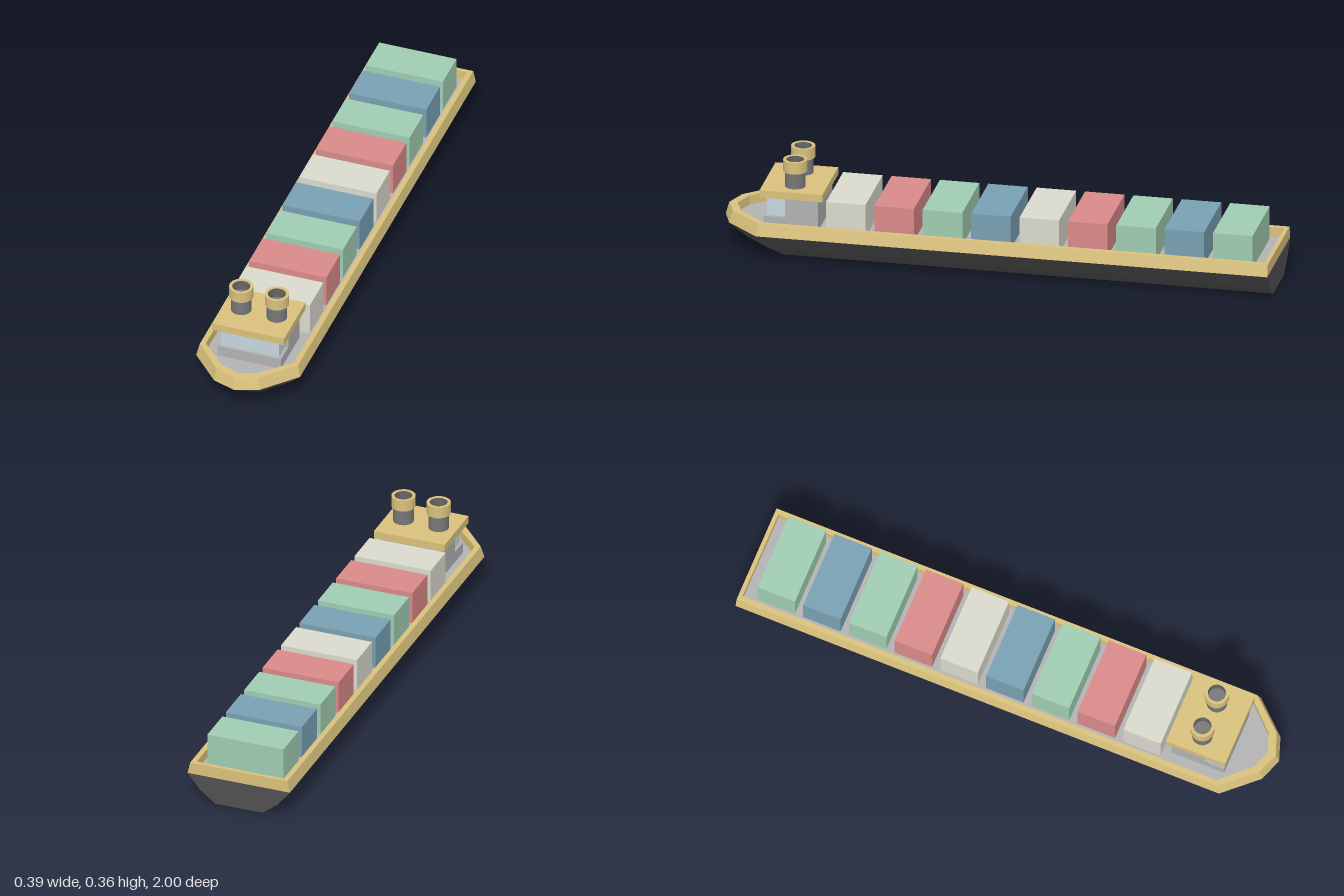
import * as THREE from 'three';

const mat = (color, side = THREE.FrontSide) =>
  new THREE.MeshStandardMaterial({ color, side, flatShading: true });
const GOLD = 0xd9c17c, DARK = 0x505050, GREY = 0xb2b2b2, GLASS = 0xc6d6de;
const GREEN = 0x9fccb2, BLUE = 0x78a0b2, RED = 0xd88a88, CREAM = 0xd9d9cd;

// Ship outline at one height: straight sides, then a faceted bow
function outline(y, halfWidth, shoulderZ, midX, midZ, tipZ, sternZ = -1) {
  const half = [[halfWidth, sternZ], [halfWidth, shoulderZ], [midX, midZ]];
  return [...half, [0, tipZ], ...half.map(([x, z]) => [-x, z]).reverse()]
    .map(([x, z]) => new THREE.Vector3(x, y, z));
}

// Skin a stack of outlines; optionally close the first or the last one
function loft(rings, capFirst, capLast) {
  const pts = [];
  const n = rings[0].length;
  for (let r = 0; r + 1 < rings.length; r++) {
    const lo = rings[r], hi = rings[r + 1];
    for (let i = 0; i < n; i++) {
      const j = (i + 1) % n;
      pts.push(lo[i], hi[i], hi[j], lo[i], hi[j], lo[j]);
    }
  }
  const last = rings[rings.length - 1];
  for (let i = 1; i + 1 < n; i++) {
    if (capFirst) pts.push(rings[0][0], rings[0][i], rings[0][i + 1]);
    if (capLast) pts.push(last[0], last[i + 1], last[i]);
  }
  const geo = new THREE.BufferGeometry().setFromPoints(pts);
  geo.computeVertexNormals();
  return geo;
}

export function createModel() {
  const ship = new THREE.Group();
  ship.name = 'cargoShip';
  const add = (name, geo, material, parent = ship) => {
    const mesh = new THREE.Mesh(geo, material);
    mesh.name = name;
    parent.add(mesh);
    return mesh;
  };
  // Box given by its width (centred on x) and its y and z ranges
  const block = (name, width, y0, y1, z0, z1, color, parent) => {
    const mesh = add(name, new THREE.BoxGeometry(width, y1 - y0, z1 - z0), mat(color), parent);
    mesh.position.set(0, (y0 + y1) / 2, (z0 + z1) / 2);
    return mesh;
  };

  // Hull, rail and deck share the same outlines
  const waist = outline(0.103, 0.195, 0.85, 0.085, 0.97, 1);
  const railOuter = outline(0.147, 0.185, 0.84, 0.08, 0.957, 0.987);
  const railInner = outline(0.147, 0.166, 0.83, 0.07, 0.93, 0.957, -0.985);
  const deckEdge = outline(0.112, 0.166, 0.83, 0.07, 0.93, 0.957, -0.985);
  add('hull', loft([
    outline(0, 0.09, 0.775, 0.04, 0.805, 0.815),
    outline(0.045, 0.148, 0.815, 0.065, 0.905, 0.925),
    waist,
  ], true, false), mat(DARK));
  add('rail', loft([waist, railOuter, railInner, deckEdge], false, false), mat(GOLD));
  add('deck', loft([deckEdge], false, true), mat(GREY, THREE.DoubleSide));

  // Row of containers, from stern to bow
  [GREEN, BLUE, GREEN, RED, CREAM, BLUE, GREEN, RED, CREAM].forEach((color, i) => {
    const z = -0.865 + i * 0.175;
    block('container', 0.29, 0.112, 0.235, z - 0.0715, z + 0.0715, color);
  });

  // Bridge house with a glazed front
  const bridge = new THREE.Group();
  bridge.name = 'bridge';
  ship.add(bridge);
  block('bridgeBase', 0.238, 0.112, 0.153, 0.64, 0.838, GREY, bridge);
  block('bridgeRear', 0.238, 0.153, 0.228, 0.64, 0.76, GREY, bridge);
  block('bridgeWindow', 0.218, 0.153, 0.228, 0.76, 0.828, GLASS, bridge);
  block('bridgeRoof', 0.27, 0.228, 0.256, 0.622, 0.849, GOLD, bridge);

  // Twin funnels with open collars
  const shaftGeo = new THREE.CylinderGeometry(0.0365, 0.0365, 0.066, 32);
  const collarGeo = new THREE.LatheGeometry([
    [0.032, 0.318], [0.032, 0.358], [0.032, 0.358], [0.043, 0.358], [0.043, 0.358],
    [0.043, 0.315], [0.043, 0.315], [0.032, 0.315],
  ].reverse().map(([r, y]) => new THREE.Vector2(r, y)), 32);
  const smooth = (color, side) => {
    const m = mat(color, side);
    m.flatShading = false;
    return m;
  };
  for (const side of [-1, 1]) {
    const funnel = new THREE.Group();
    funnel.name = side > 0 ? 'leftFunnel' : 'rightFunnel';
    funnel.position.set(side * 0.067, 0, 0.734);
    ship.add(funnel);
    add('funnelShaft', shaftGeo, smooth(0x777777), funnel).position.y = 0.287;
    const collar = add('funnelCollar', collarGeo, mat(GOLD, THREE.DoubleSide), funnel);
    collar.material.flatShading = true;
    // Sooty lining inside the collar
    add('funnelLining', new THREE.CylinderGeometry(0.0315, 0.0315, 0.037, 32, 1, true),
      smooth(0x666666, THREE.DoubleSide), funnel).position.y = 0.338;
  }
  return ship;
}
